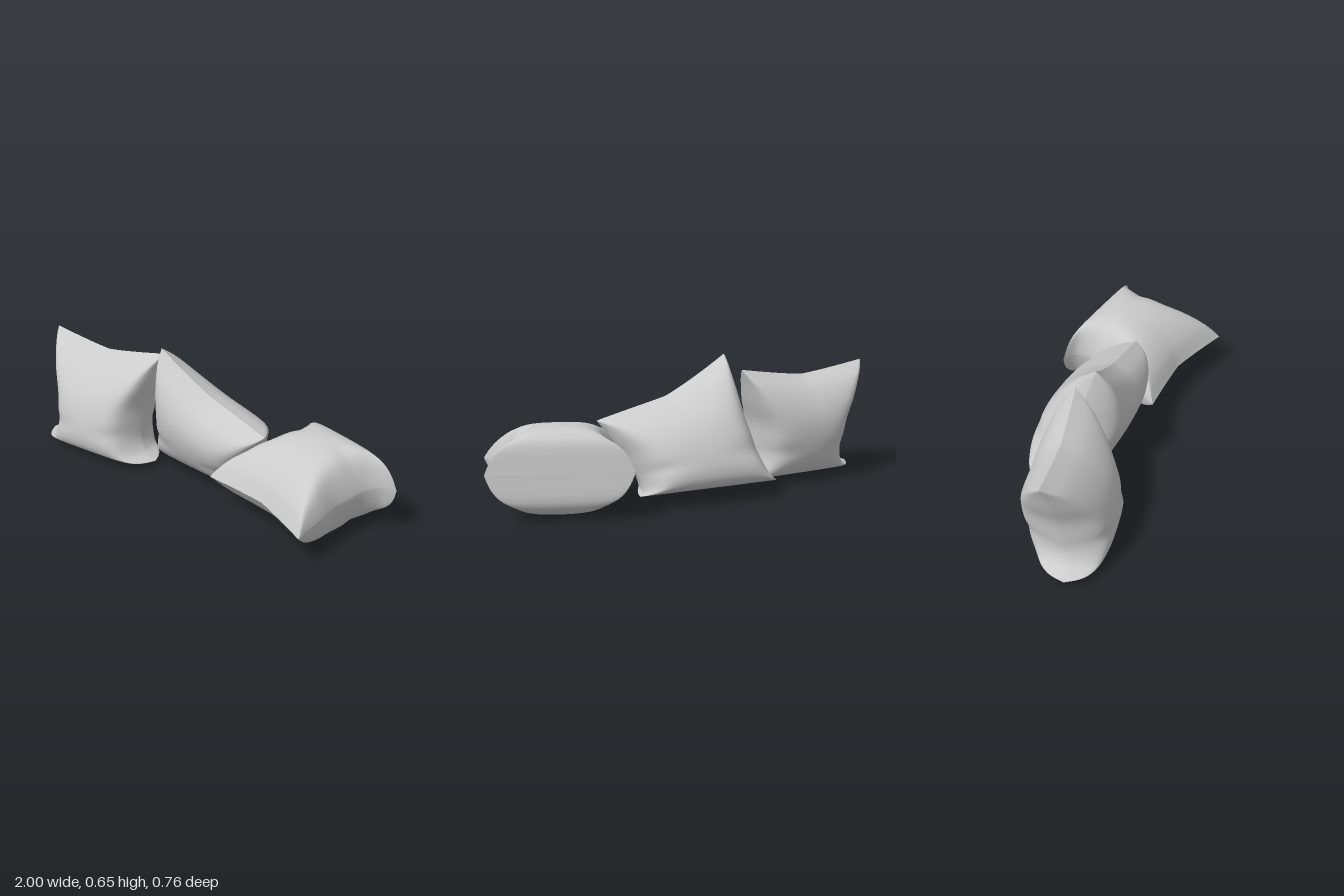
import * as THREE from 'three';

const HALF_W = 0.345, HALF_H = 0.27;

// Profile from the top seam to the flattened lower end: height, half width, half thickness
const profile = new THREE.CatmullRomCurve3([
  [0.27, 0.345, 0], [0.2, 0.32, 0.085], [0.1, 0.29, 0.155], [0, 0.255, 0.196],
  [-0.1, 0.245, 0.208], [-0.18, 0.245, 0.198], [-0.235, 0.272, 0.17],
  [-0.264, 0.32, 0.125], [-0.27, 0.345, 0],
].map((p) => new THREE.Vector3(...p)));

const material = new THREE.MeshStandardMaterial({ color: 0xcccccc, side: THREE.DoubleSide });

// One cloth half of a cushion, stretched between four corners and puffed along a direction
function cover(name, [tl, tr, bl, br], puff, side, pinch) {
  const rows = 56, cols = 40, pos = [], index = [];
  const a = new THREE.Vector3(), b = new THREE.Vector3();
  for (let i = 0; i <= rows; i++) {
    const { x: y, y: width, z } = profile.getPoint(i / rows);
    const thick = Math.max(z, 1e-5);
    const halfWidth = HALF_W - (HALF_W - width) * pinch;
    const t = (y + HALF_H) / (2 * HALF_H);
    for (let j = 0; j <= cols; j++) {
      const u = Math.sin((j / cols - 0.5) * Math.PI);
      // Thickness is limited by the nearer of the end seams and side seams, blended softly
      const limit = 0.3 * Math.max(0, 1 - Math.abs(u) ** 2.5) ** 0.7;
      const blend = (thick ** 4 + limit ** 4) ** 0.25;
      // Folds gather beside the waist
      const fold = 1 - 0.12 * u * u * Math.exp(-(((y + 0.13) / 0.04) ** 2));
      const w = ((thick * limit) / blend) * fold;
      // The top seam sags towards its middle
      const v = t - 0.09 * (1 - Math.abs(u) ** 1.2) * Math.max(0, t) ** 3;
      const s = 0.5 + (0.5 * u * halfWidth) / HALF_W;
      a.lerpVectors(tl, tr, s);
      b.lerpVectors(bl, br, s).lerp(a, v).addScaledVector(puff, w * side);
      pos.push(b.x, b.y, b.z);
      if (i < rows && j < cols) {
        const k = i * (cols + 1) + j, m = k + cols + 1;
        if (side > 0) index.push(k, m, k + 1, k + 1, m, m + 1);
        else index.push(k, k + 1, m, k + 1, m + 1, m);
      }
    }
  }
  const geometry = new THREE.BufferGeometry();
  geometry.setAttribute('position', new THREE.Float32BufferAttribute(pos, 3));
  geometry.setIndex(index);
  geometry.computeVertexNormals();
  const mesh = new THREE.Mesh(geometry, material);
  mesh.name = name;
  return mesh;
}

function cushion(name, corners, front, back, pinch) {
  const c = corners.map((p) => new THREE.Vector3(...p));
  const group = new THREE.Group();
  group.name = name;
  group.add(
    cover('frontCover', c, new THREE.Vector3(...front), 1, pinch),
    cover('backCover', c, new THREE.Vector3(...back), -1, pinch),
  );
  return group;
}

export function createModel() {
  const model = new THREE.Group();
  model.name = 'cushions';
  // Corners: top left, top right, bottom left, bottom right
  model.add(
    cushion('uprightCushion', [
      [-1, 0.575, -0.15], [-0.31, 0.585, -0.15], [-0.98, 0.037, -0.065], [-0.3, 0.037, -0.055],
    ], [0, 0, 1], [0, 0, 1.03], 1),
    cushion('leaningCushion', [
      [-0.26, 0.655, -0.065], [0.385, 0.385, 0], [-0.42, 0.06, -0.29], [0.26, 0.05, -0.2],
    ], [0, -0.03, 1.15], [-0.1, -0.3, 0.85], 0.4),
    cushion('lyingCushion', [
      [0.81, 0.17, 0.37], [0.165, 0.17, 0.125], [1, 0.24, -0.15], [0.37, 0.23, -0.375],
    ], [-0.05, 1.03, 0.12], [-0.05, 1.04, 0.12], 1),
  );
  return model;
}
